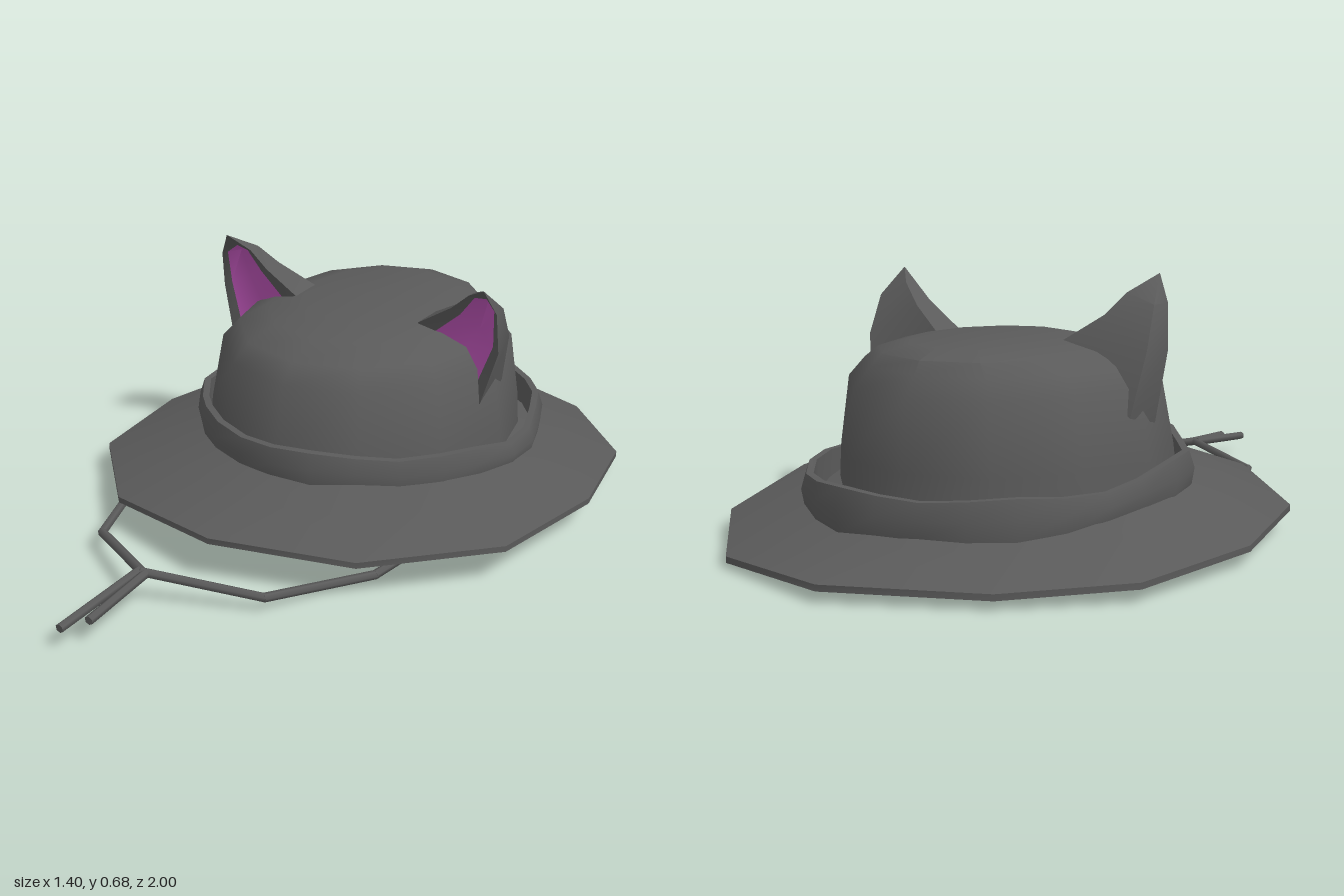
import * as THREE from 'three';
import { toCreasedNormals } from 'three/addons/utils/BufferGeometryUtils.js';

const material = (name, color) =>
  new THREE.MeshStandardMaterial({ name, color, side: THREE.DoubleSide });
const V = (x, y, z) => new THREE.Vector3(x, y, z);

// Skin a list of cross-sections that all have the same number of points
function loft(rings, closed, crease = 0.8) {
  const n = rings[0].length;
  const index = [];
  for (let i = 0; i < rings.length - 1; i++) {
    for (let j = 0; j < (closed ? n : n - 1); j++) {
      const k = (j + 1) % n;
      const a = i * n + j, b = i * n + k, c = b + n, d = a + n;
      index.push(a, b, c, a, c, d);
    }
  }
  const geometry = new THREE.BufferGeometry().setFromPoints(rings.flat());
  geometry.setIndex(index);
  return toCreasedNormals(geometry, crease);
}

// Ellipse ring around the hat; y may be a number or a rule of (z, angle)
function ring(count, rx, rz, cz, y, wobble = () => 0) {
  return Array.from({ length: count }, (_, k) => {
    const a = (k / count) * Math.PI * 2;
    const r = 1 + wobble(a);
    const z = cz + Math.cos(a) * rz * r;
    return V(Math.sin(a) * rx * r, typeof y === 'number' ? y : y(z, a), z);
  });
}

export function createModel() {
  const hat = new THREE.Group();
  hat.name = 'earedBucketHat';
  const felt = material('charcoal felt', 0x5a5a5a);
  const pink = material('pink lining', 0xbb54b5);

  const add = (parent, name, geometry, mat) => {
    const mesh = new THREE.Mesh(geometry, mat);
    mesh.name = name;
    parent.add(mesh);
    return mesh;
  };

  // Crown: hollow shell, open at the bottom
  const seam = (z) => 0.18 + 0.06 * z;
  const crown = [
    ring(12, 0.43, 0.47, -0.215, seam),
    ring(12, 0.425, 0.462, -0.217, 0.24),
    ring(12, 0.395, 0.435, -0.225, 0.42),
    ring(12, 0.35, 0.39, -0.228, 0.47),
    ring(12, 0.29, 0.335, -0.265, 0.503),
    ring(12, 0.2, 0.245, -0.285, 0.525),
    ring(12, 0, 0, -0.285, 0.527),
  ];
  add(hat, 'crown', loft(crown, true), felt);

  // Brim: uneven twelve-sided rim with a thin edge
  const rim = [
    [0, 0.13, 0.555], [0.37, 0.12, 0.45], [0.64, 0.115, 0.17],
    [0.7, 0.1, -0.21], [0.62, 0.06, -0.6], [0.37, 0.035, -0.89],
    [0, 0.05, -1], [-0.37, 0.045, -0.84], [-0.62, 0.055, -0.62],
    [-0.7, 0.06, -0.22], [-0.64, 0.075, 0.16], [-0.37, 0.1, 0.45],
  ].map((p) => V(...p));
  const drop = (points, d) => points.map((p) => p.clone().setY(p.y - d));
  const middle = rim.map((p, i) => p.clone().lerp(crown[0][i], 0.5).setY((p.y + crown[0][i].y) / 2 + 0.006));
  const brim = [drop(crown[0], 0.015), drop(middle, 0.015), drop(rim, 0.016), rim, middle, crown[0]];
  add(hat, 'brim', loft(brim, true), felt);

  // Rumpled hat band, standing away from the crown at the back
  const wobble = (a) => 0.012 * Math.sin(5 * a + 1) + 0.008 * Math.sin(9 * a)
    + 0.04 * Math.exp(-(((a - 4.95) / 0.16) ** 2));
  const top = (z, a) => 0.208 + 0.06 * Math.max(0, Math.cos(a)) + 0.007 * Math.sin(7 * a)
    + 0.025 * Math.exp(-(((a - 4.95) / 0.2) ** 2));
  const bottom = (z, a) => 0.145 + 0.035 * Math.cos(a) + 0.006 * Math.sin(6 * a);
  const between = (z, a) => (top(z, a) + bottom(z, a)) / 2;
  add(hat, 'hatBand', loft([
    ring(26, 0.475, 0.53, -0.26, bottom, wobble),
    ring(26, 0.482, 0.537, -0.26, between, wobble),
    ring(26, 0.468, 0.525, -0.26, top, wobble),
    ring(26, 0.45, 0.505, -0.26, top, wobble),
    ring(26, 0.445, 0.5, -0.26, bottom, wobble),
  ], true), felt);

  // Ears: sections of outer front, outer back, inner back, inner front
  function addEar(name, sections, tip) {
    const ear = new THREE.Group();
    ear.name = name;
    hat.add(ear);
    const shell = [], lining = [];
    const order = (points) => (tip[0] < 0 ? points.reverse() : points);
    for (const section of sections) {
      const [of, ob, ib, inf] = section.map((p) => V(...p));
      const po = of.clone().lerp(inf, 0.14);
      const pi = inf.clone().lerp(of, 0.16);
      po.z -= 0.008;
      pi.z -= 0.008;
      const hollow = po.clone().lerp(pi, 0.5);
      hollow.z -= 0.02;
      shell.push(order([po, of, ob, ib, inf, pi]));
      lining.push(order([pi, hollow, po]));
    }
    const t = V(...tip);
    const peak = lining.at(-1)[1].clone().lerp(t, 0.3);
    shell.push(order([peak, t, t, t, t, peak]));
    lining.push([peak, peak, peak]);
    add(ear, name + 'Shell', loft(shell, false, 0.9), felt);
    add(ear, name + 'Lining', loft(lining, false), pink);
  }
  addEar('rightEar', [
    [[-0.4, 0.32, -0.15], [-0.4, 0.35, -0.28], [-0.18, 0.52, -0.25], [-0.19, 0.52, -0.15]],
    [[-0.435, 0.51, -0.15], [-0.42, 0.51, -0.235], [-0.28, 0.59, -0.2], [-0.275, 0.59, -0.13]],
    [[-0.412, 0.62, -0.11], [-0.405, 0.62, -0.17], [-0.32, 0.645, -0.155], [-0.315, 0.645, -0.11]],
  ], [-0.37, 0.69, -0.075]);
  addEar('leftEar', [
    [[0.39, 0.31, -0.15], [0.395, 0.35, -0.28], [0.2, 0.52, -0.25], [0.2, 0.52, -0.15]],
    [[0.443, 0.48, -0.15], [0.43, 0.5, -0.24], [0.3, 0.58, -0.2], [0.31, 0.59, -0.13]],
    [[0.448, 0.6, -0.12], [0.44, 0.6, -0.175], [0.365, 0.635, -0.16], [0.365, 0.638, -0.12]],
  ], [0.422, 0.67, -0.09]);

  // Chin cord: straight lengths meeting at a knot in front of the brim
  const knot = [-0.08, 0.09, 0.72];
  const cords = {
    leftCord: [knot, [0.2, 0.045, 0.6], [0.35, 0.018, 0.32], [0.43, 0.024, -0.22]],
    rightCord: [knot, [-0.33, 0.06, 0.57], [-0.45, 0.056, 0.25], [-0.46, 0.066, -0.27]],
    longCordTail: [[-0.09, 0.09, 0.72], [-0.108, 0.065, 0.995]],
    shortCordTail: [[-0.07, 0.088, 0.72], [-0.065, 0.072, 0.94]],
  };
  for (const [name, path] of Object.entries(cords)) {
    const cord = new THREE.Group();
    cord.name = name;
    hat.add(cord);
    for (let i = 0; i < path.length - 1; i++) {
      const a = V(...path[i]), b = V(...path[i + 1]);
      const piece = add(cord, name + 'Length',
        new THREE.CylinderGeometry(0.012, 0.012, a.distanceTo(b) + 0.006, 6), felt);
      piece.position.copy(a).lerp(b, 0.5);
      piece.quaternion.setFromUnitVectors(V(0, 1, 0), b.sub(a).normalize());
    }
  }
  return hat;
}
